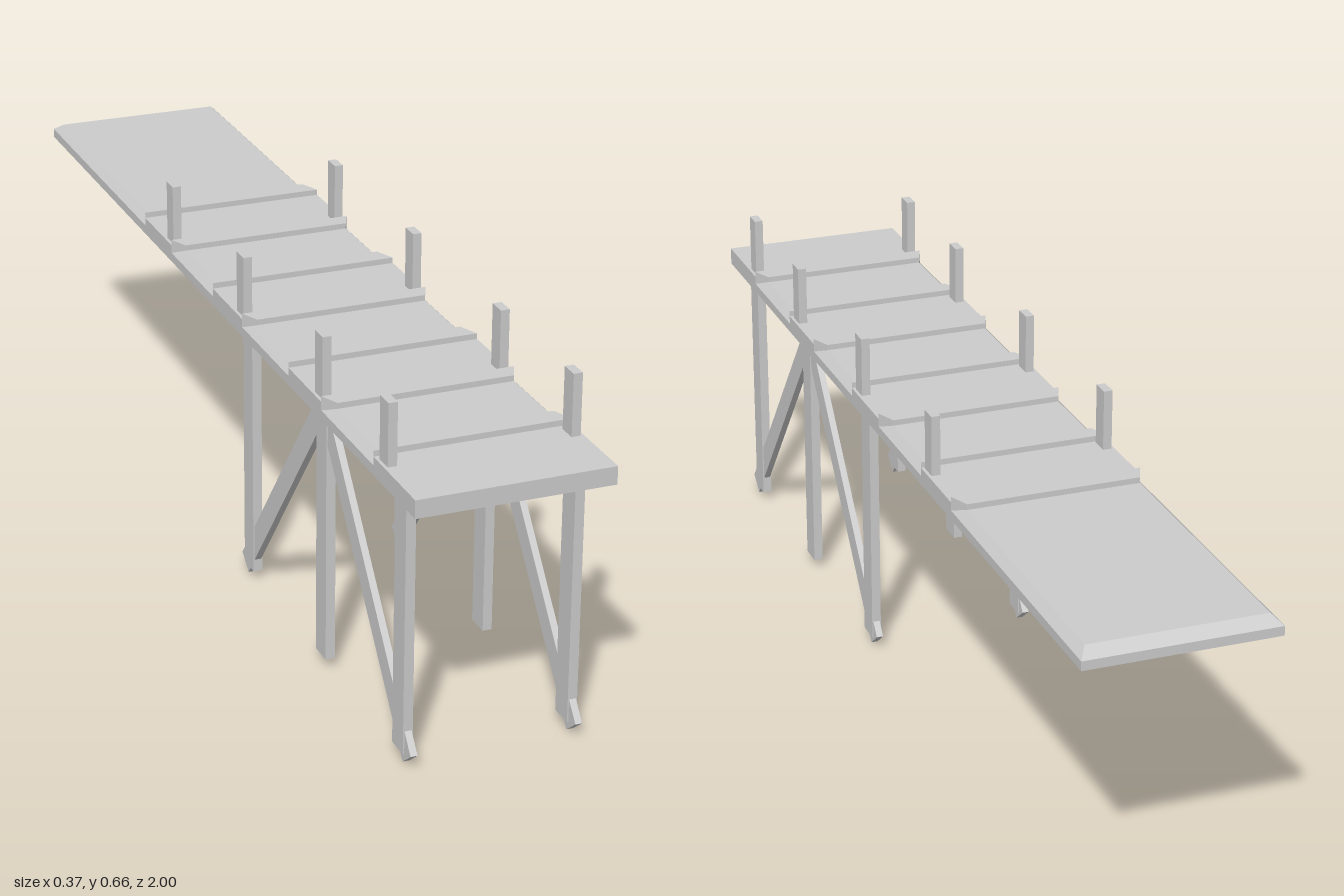
import * as THREE from 'three';

const material = new THREE.MeshStandardMaterial({ color: 0xcccccc, flatShading: true });
const HALF = 0.183, INSET = 0.167;      // deck half width, and half width inside the chamfer
const Y0 = 0.507, YC = 0.525, Y1 = 0.541, Y2 = 0.552; // underside, chamfer foot, deck top, batten top

export function createModel() {
  const model = new THREE.Group();
  model.name = 'pier';

  const add = (name, geometry) => {
    const mesh = new THREE.Mesh(geometry, material);
    mesh.name = name;
    model.add(mesh);
    return mesh;
  };

  // Box given by its limits; the optional rule moves each corner
  const block = (name, [x0, x1], [y0, y1], [z0, z1], rule) => {
    const g = new THREE.BoxGeometry(x1 - x0, y1 - y0, z1 - z0);
    g.translate((x0 + x1) / 2, (y0 + y1) / 2, (z0 + z1) / 2);
    if (rule) {
      const p = g.attributes.position, v = new THREE.Vector3();
      for (let i = 0; i < p.count; i++) {
        rule(v.fromBufferAttribute(p, i));
        p.setXYZ(i, v.x, v.y, v.z);
      }
      g.computeVertexNormals();
    }
    return add(name, g);
  };

  // Deck: a full-length base with square-edged and chamfered stretches on top
  const wide = [-HALF, HALF];
  block('deckBase', wide, [Y0, YC], [-1, 1]);
  for (const z of [[0.82, 1], [0.42, 0.58], [0.02, 0.18], [-0.38, -0.22]]) {
    block('deckSquareSection', wide, [YC, Y1], z);
  }
  for (const z of [[0.58, 0.82], [0.18, 0.42], [-0.22, 0.02], [-1, -0.38]]) {
    block('deckChamferedSection', wide, [YC, Y1], z, (v) => {
      if (v.y < Y1 - 0.001) return;
      v.x = Math.sign(v.x) * INSET;
      if (v.z < -0.99) v.z = -0.975; // chamfer across the far end
    });
  }

  // Cross battens, narrowing towards the chamfered stretch they border
  for (const [outer, inner] of [[0.82, 0.78], [0.58, 0.617], [0.42, 0.38], [0.18, 0.217],
    [0.02, -0.02], [-0.22, -0.183], [-0.38, -0.42]]) {
    block('batten', wide, [YC, Y2], [Math.min(outer, inner), Math.max(outer, inner)], (v) => {
      if (Math.abs(v.z - inner) < 0.001) v.x = Math.sign(v.x) * INSET;
    });
  }

  for (const side of [-1, 1]) {
    const span = (a, b) => (side > 0 ? [a, b] : [-b, -a]);

    // Short mooring posts above the deck
    for (const z of [0.85, 0.552, 0.154, -0.243]) {
      block('mooringPost', span(0.16, 0.177), [Y1 - 0.01, 0.658], [z - 0.018, z + 0.018]);
    }

    // Upright legs
    for (const z of [0.895, 0.533, 0.157]) {
      block('leg', span(0.146, 0.164), [0.018, Y0 + 0.005], [z - 0.024, z + 0.024]);
    }

    // Diagonal braces meeting under the deck
    for (const footZ of [0.93, 0.13]) {
      const dz = 0.53 - footZ, dy = 0.497;
      const brace = add('brace', new THREE.BoxGeometry(0.013, Math.hypot(dz, dy), 0.044));
      brace.position.set(side * 0.155, 0.014 + dy / 2, footZ + dz / 2);
      brace.rotation.x = Math.atan2(dz, dy);
    }
  }

  return model;
}
